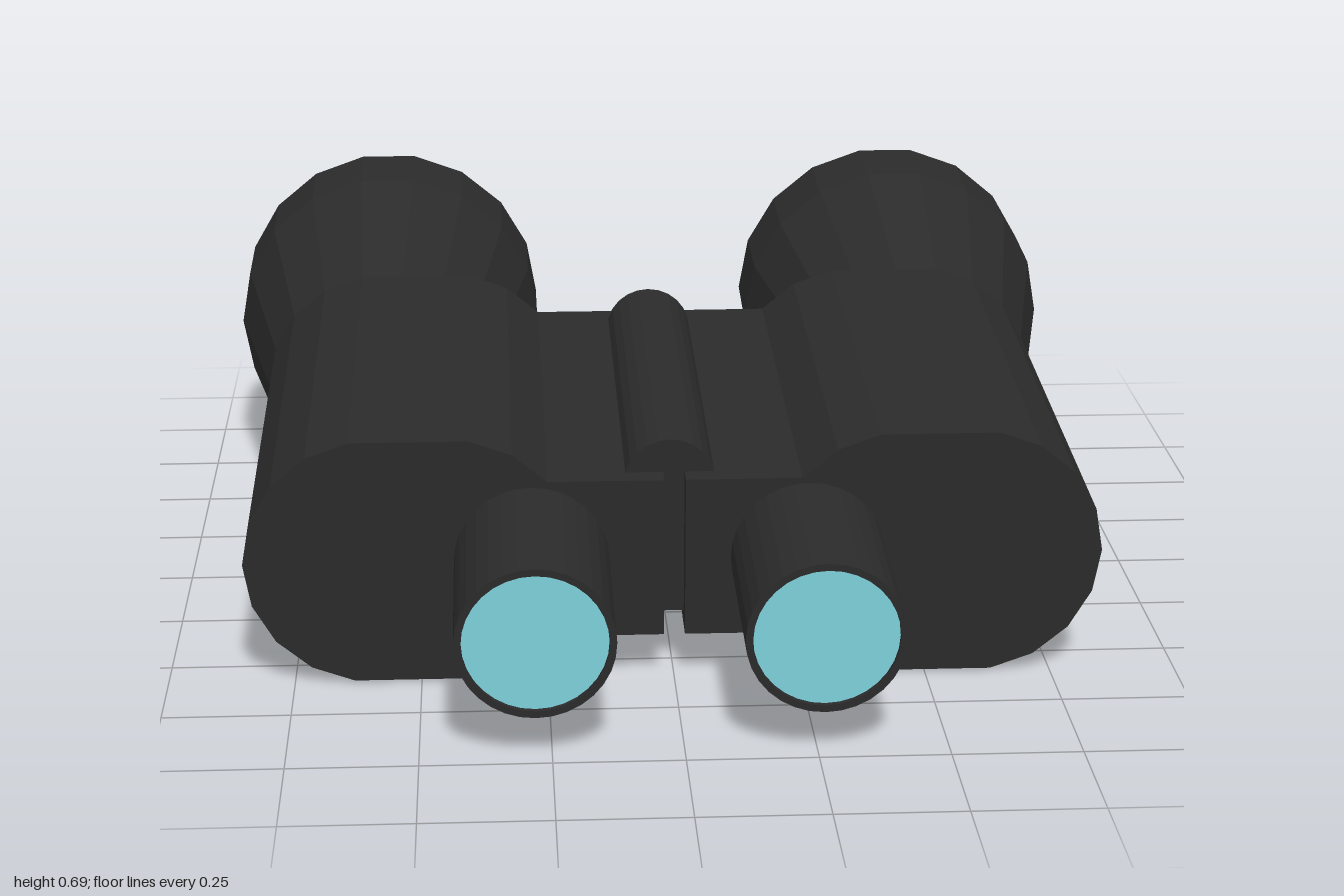
import * as THREE from 'three';

const CY = 0.294;            // height of the optical axes before tilting
const BACK = -0.38, FRONT = 0.592; // ends of the main housing
const BARREL_X = 0.587;      // objective axis
const SIDES = 18;
const R = 0.257;             // housing radius

const black = new THREE.MeshStandardMaterial({ color: 0x2b2b2b, flatShading: true });
const blackOpen = new THREE.MeshStandardMaterial({ color: 0x2b2b2b, flatShading: true, side: THREE.DoubleSide });
const glass = new THREE.MeshStandardMaterial({ color: 0x7fd4de });

function add(parent, name, geometry, material, x, y, z) {
  const mesh = new THREE.Mesh(geometry, material);
  mesh.name = name;
  mesh.position.set(x, y, z);
  parent.add(mesh);
  return mesh;
}

// Lathe profile given as [radius, distance along the axis]
function turned(profile, sides) {
  const points = profile.map(([r, d]) => new THREE.Vector2(r, d));
  return new THREE.LatheGeometry(points, sides, Math.PI / 2);
}

// Faceted barrel stretched toward the hinge, with the flat bridge plate
function housingGeometry(side) {
  const points = [];
  const corner = (k, cx) => {
    const a = (k * 20 * Math.PI) / 180;
    points.push(new THREE.Vector2(side * (cx + R * Math.cos(a)), R * Math.sin(a)));
  };
  for (let k = -4; k <= 4; k++) corner(k, BARREL_X);
  for (let k = 5; k <= 7; k++) corner(k, 0.445);
  points.push(new THREE.Vector2(side * 0.021, 0.165), new THREE.Vector2(side * 0.021, -0.165));
  for (let k = 11; k <= 13; k++) corner(k, 0.445);
  return new THREE.ExtrudeGeometry(new THREE.Shape(points), { depth: FRONT - BACK, bevelEnabled: false });
}

export function createModel() {
  const model = new THREE.Group();
  model.name = 'binoculars';

  for (const side of [1, -1]) {
    const half = new THREE.Group();
    half.name = side > 0 ? 'leftHalf' : 'rightHalf';
    model.add(half);

    add(half, 'housing', housingGeometry(side), black, 0, CY, BACK);

    // Flared objective with a recessed inner cone
    const objective = turned([
      [R, 0], [0.343, 0.429], [0.343, 0.618], [0.325, 0.618], [0.275, 0.535],
    ], SIDES).rotateX(-Math.PI / 2);
    add(half, 'objectiveTube', objective, blackOpen, side * BARREL_X, CY, BACK);
    const lens = new THREE.CircleGeometry(0.277, SIDES).rotateY(Math.PI);
    add(half, 'objectiveLens', lens, glass, side * BARREL_X, CY, BACK - 0.536);

    // Eyepiece tube with a thin rim around the lens
    const eyeX = side > 0 ? 0.262 : -0.28;
    const eyepiece = turned([
      [0.152, 0], [0.152, 0.405], [0.138, 0.405], [0.138, 0.39],
    ], 32).rotateX(Math.PI / 2);
    add(half, 'eyepieceTube', eyepiece, blackOpen, eyeX, CY + 0.002, 0.572);
    add(half, 'eyepieceLens', new THREE.CircleGeometry(0.139, 32), glass, eyeX, CY + 0.002, 0.967);
  }

  // Central hinge: pin on top and web in the slot
  const pin = new THREE.CylinderGeometry(0.09, 0.09, 0.88, 24).rotateX(Math.PI / 2);
  add(model, 'hingePin', pin, black, -0.008, 0.437, 0.11);
  add(model, 'hingeWeb', new THREE.BoxGeometry(0.06, 0.26, 0.91), black, 0, 0.29, 0.092);

  // The whole body rests on its housing front and objective rims
  model.rotation.x = THREE.MathUtils.degToRad(3.3);
  model.updateMatrixWorld(true);
  const root = new THREE.Group();
  root.name = 'binocularsRoot';
  root.add(model);
  return root;
}
